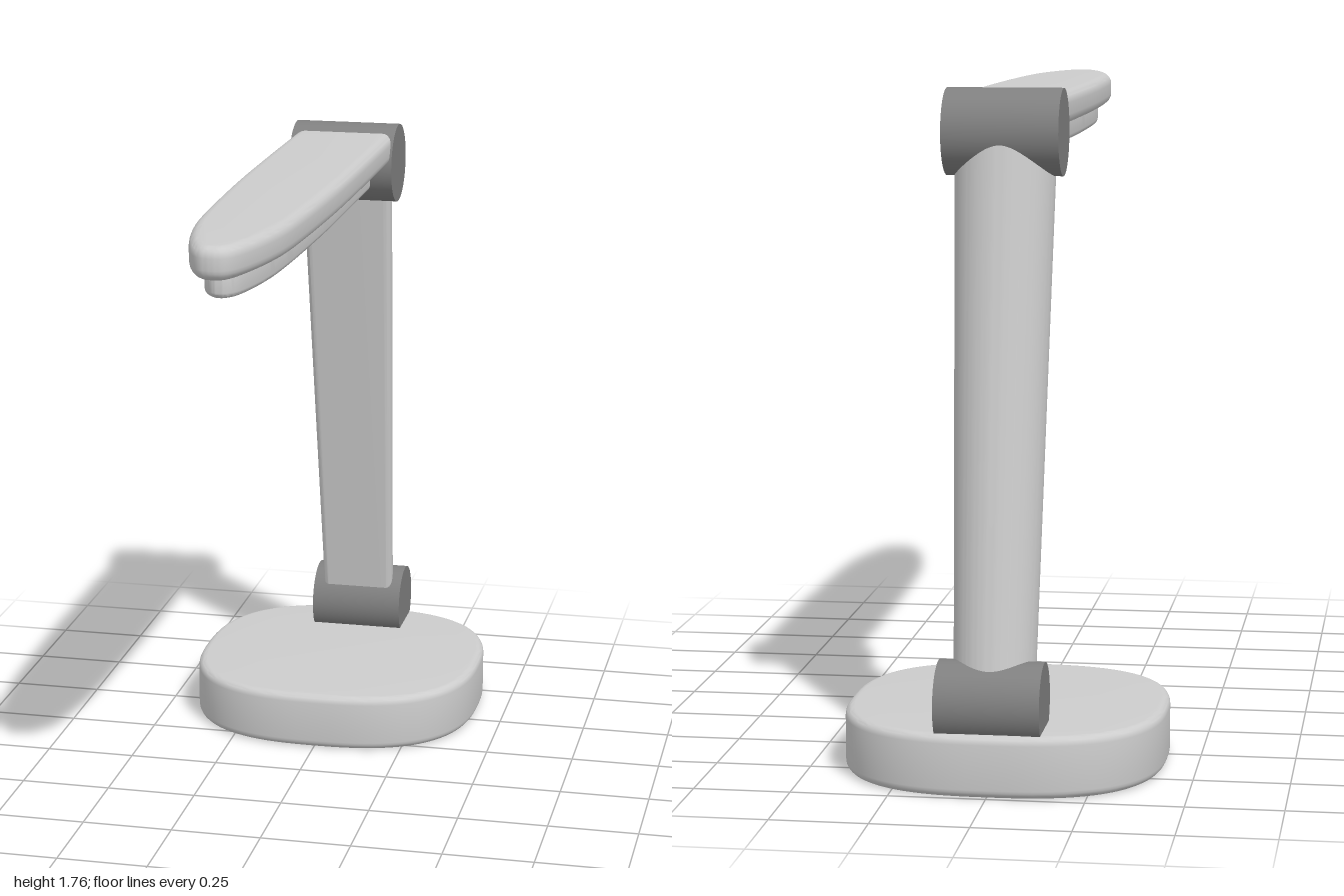
import * as THREE from 'three';
import { toCreasedNormals } from 'three/addons/utils/BufferGeometryUtils.js';

const shellGrey = new THREE.MeshStandardMaterial({ color: 0xcccccc });
shellGrey.name = 'light grey shell';
const hingeGrey = new THREE.MeshStandardMaterial({ color: 0x808080 });
hingeGrey.name = 'mid grey hinge';

// Flat slab with softened edges: outline in (x, z), spanning bottom to top in y
function slab(shape, bottom, top, bevel) {
  const geo = new THREE.ExtrudeGeometry(shape, {
    depth: top - bottom - 2 * bevel, curveSegments: 5,
    bevelEnabled: bevel > 0, bevelThickness: bevel, bevelSize: bevel,
    bevelOffset: -bevel, bevelSegments: 5,
  });
  geo.rotateX(Math.PI / 2);
  geo.translate(0, top - bevel, 0);
  return geo;
}

// Mirrored outline with a square back and a smooth pointed front
function bladeShape(half) {
  const right = half.map(([x, z]) => new THREE.Vector2(x, z));
  const left = half.slice(0, -1).reverse().map(([x, z]) => new THREE.Vector2(-x, z));
  const shape = new THREE.Shape();
  shape.moveTo(right[0].x, right[0].y);
  shape.splineThru([...right.slice(1), ...left]);
  shape.closePath();
  return shape;
}

// Rounded-square outline
function squircle(rx, rz, power, count) {
  const points = [];
  for (let i = 0; i < count; i++) {
    const a = (i / count) * Math.PI * 2, c = Math.cos(a), s = Math.sin(a);
    points.push(new THREE.Vector2(
      rx * Math.sign(c) * Math.abs(c) ** (2 / power),
      rz * Math.sign(s) * Math.abs(s) ** (2 / power)));
  }
  return new THREE.Shape(points);
}

export function createModel() {
  const model = new THREE.Group();

  function add(name, geo, material, x = 0, y = 0, z = 0) {
    const mesh = new THREE.Mesh(geo, material);
    mesh.name = name;
    mesh.position.set(x, y, z);
    model.add(mesh);
    return mesh;
  }
  const smooth = (geo) => toCreasedNormals(geo, 0.6);

  // Base
  add('base', smooth(slab(squircle(0.42, 0.413, 2.6, 96), 0, 0.16, 0.022)),
    shellGrey, 0, 0, -0.587);

  // Hinges
  const hinge = (radius, width) =>
    new THREE.CylinderGeometry(radius, radius, width, 64).rotateZ(Math.PI / 2);
  add('lowerHinge', hinge(0.105, 0.27), hingeGrey, 0, 0.225, -0.894);
  add('upperHinge', hinge(0.112, 0.3), hingeGrey, 0, 1.65, -0.638);

  // Arm: flat front, rounded back, narrowing towards the base
  const topWidth = 0.132, bottomWidth = 0.104, length = 1.44, front = 0.07, corner = 0.022;
  const section = new THREE.Shape();
  section.moveTo(-topWidth + corner, front);
  section.quadraticCurveTo(-topWidth, front, -topWidth, front - corner);
  section.absellipse(0, front - corner, topWidth, 0.118, Math.PI, Math.PI * 2, false);
  section.quadraticCurveTo(topWidth, front, topWidth - corner, front);
  section.closePath();
  const armGeo = new THREE.ExtrudeGeometry(section,
    { depth: length, bevelEnabled: false, curveSegments: 24 });
  armGeo.rotateX(Math.PI / 2);
  const pos = armGeo.attributes.position;
  for (let i = 0; i < pos.count; i++) {
    const t = -pos.getY(i) / length;
    pos.setX(i, pos.getX(i) * THREE.MathUtils.lerp(1, bottomWidth / topWidth, t));
  }
  add('arm', smooth(armGeo), shellGrey, 0, 1.65, -0.671).rotation.x = 0.153;

  // Lamp head
  const headShape = bladeShape([[0.143, -0.64], [0.145, -0.2], [0.142, 0.2], [0.127, 0.6],
    [0.106, 0.78], [0.072, 0.92], [0.04, 0.985], [0, 1]]);
  add('head', smooth(slab(headShape, 1.658, 1.744, 0.028)), shellGrey);

  // Light panel beneath the head
  const panelShape = bladeShape([[0.1, -0.465], [0.101, -0.1], [0.1, 0.2], [0.09, 0.55],
    [0.075, 0.73], [0.05, 0.86], [0.025, 0.908], [0, 0.92]]);
  add('lightPanel', smooth(slab(panelShape, 1.598, 1.68, 0.015)), shellGrey);

  return model;
}
